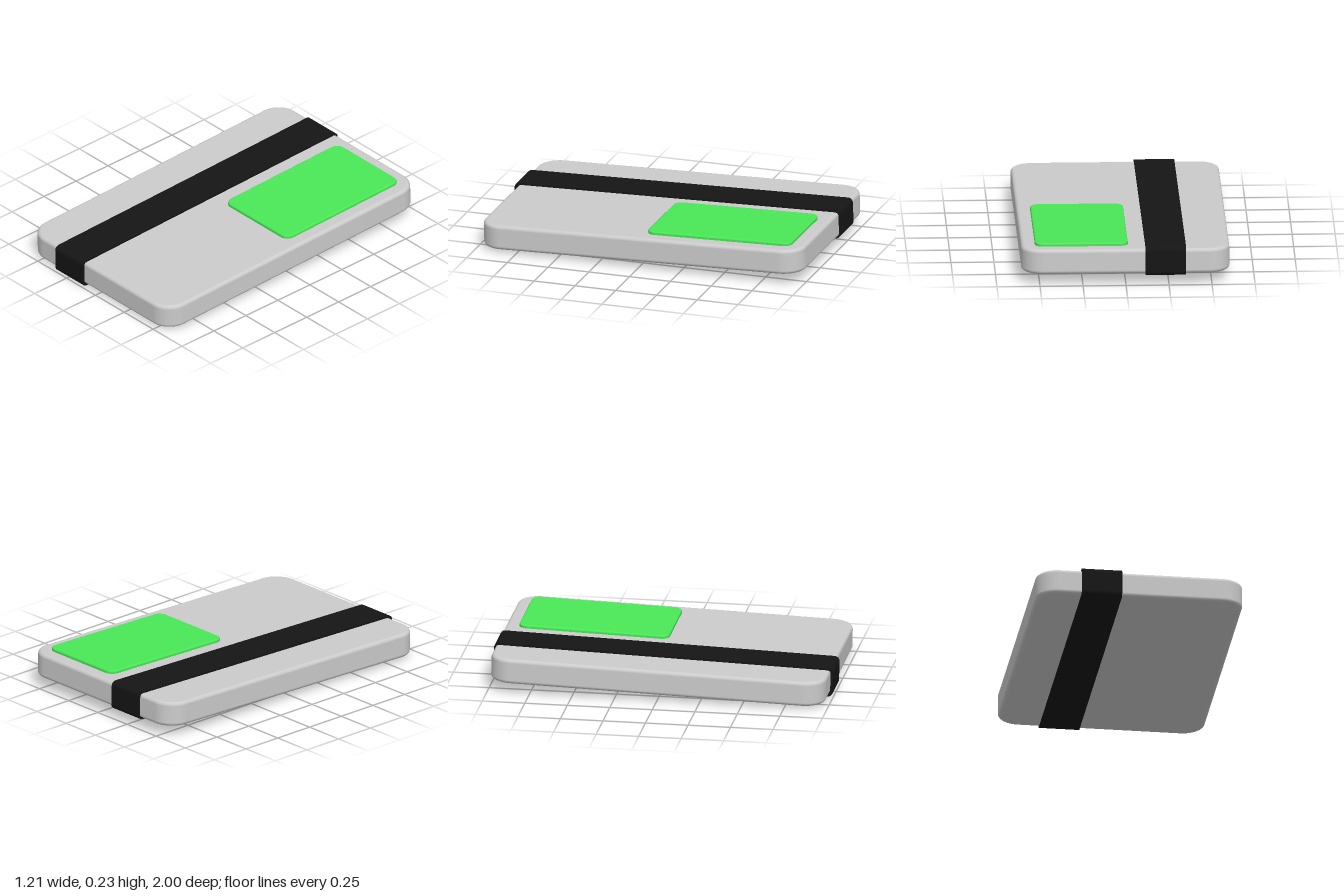
import * as THREE from 'three';

// Rounded rectangle outline centred on the origin
function roundedRect(path, w, h, r) {
  const x = w / 2, y = h / 2;
  path.moveTo(x, -y + r);
  path.lineTo(x, y - r);
  path.absarc(x - r, y - r, r, 0, Math.PI / 2);
  path.lineTo(-x + r, y);
  path.absarc(-x + r, y - r, r, Math.PI / 2, Math.PI);
  path.lineTo(-x, -y + r);
  path.absarc(-x + r, -y + r, r, Math.PI, Math.PI * 1.5);
  path.lineTo(x - r, -y);
  path.absarc(x - r, -y + r, r, Math.PI * 1.5, Math.PI * 2);
  return path;
}

// Flat slab (width x, thickness y, length z) with round corners r and edge rounding b
function slab(w, t, l, r, b) {
  const geo = new THREE.ExtrudeGeometry(roundedRect(new THREE.Shape(), w - 2 * b, l - 2 * b, r - b), {
    depth: t - 2 * b, bevelEnabled: true, bevelSize: b, bevelThickness: b,
    bevelSegments: 5, curveSegments: 12,
  });
  geo.translate(0, 0, b - t / 2);
  // Smooth normals measured from the slab's inner core
  const p = geo.attributes.position, n = geo.attributes.normal;
  const { clamp } = THREE.MathUtils;
  const radial = new THREE.Vector2(), v = new THREE.Vector3();
  for (let i = 0; i < p.count; i++) {
    const x = p.getX(i), y = p.getY(i), z = p.getZ(i);
    const cx = w / 2 - r, cy = l / 2 - r, cz = t / 2 - b;
    radial.set(x - clamp(x, -cx, cx), y - clamp(y, -cy, cy));
    radial.setLength(Math.max(0, radial.length() - (r - b)));
    v.set(radial.x, radial.y, z - clamp(z, -cz, cz)).normalize();
    n.setXYZ(i, v.x, v.y, v.z);
  }
  return geo.rotateX(-Math.PI / 2);
}

export function createModel() {
  const model = new THREE.Group();
  model.name = 'tiltedCase';

  const add = (name, geo, color, x, y, z) => {
    const mesh = new THREE.Mesh(geo, new THREE.MeshStandardMaterial({ color }));
    mesh.name = name;
    mesh.position.set(x, y, z);
    model.add(mesh);
  };

  // Main body
  add('body', slab(1.21, 0.148, 1.968, 0.13, 0.022), 0xcccccc, 0, 0, -0.005);

  // Raised green panel on the top, toward the back
  add('panel', slab(0.54, 0.032, 0.884, 0.05, 0.01), 0x4ae757, 0.255, 0.078, -0.468);

  // Elastic band wrapped lengthwise around the body
  const bandWidth = 0.235;
  const loop = roundedRect(new THREE.Shape(), 1.996, 0.172, 0.03);
  loop.holes.push(roundedRect(new THREE.Path(), 1.966, 0.146, 0.018));
  const band = new THREE.ExtrudeGeometry(loop, { depth: bandWidth, bevelEnabled: false, curveSegments: 8 });
  band.translate(0, 0, -bandWidth / 2).rotateY(Math.PI / 2);
  add('band', band, 0x151515, -0.232, 0, 0);

  // The whole case leans up slightly toward the back
  model.rotation.x = 0.028;
  model.position.y = 0.114;

  const root = new THREE.Group();
  root.add(model);
  return root;
}
